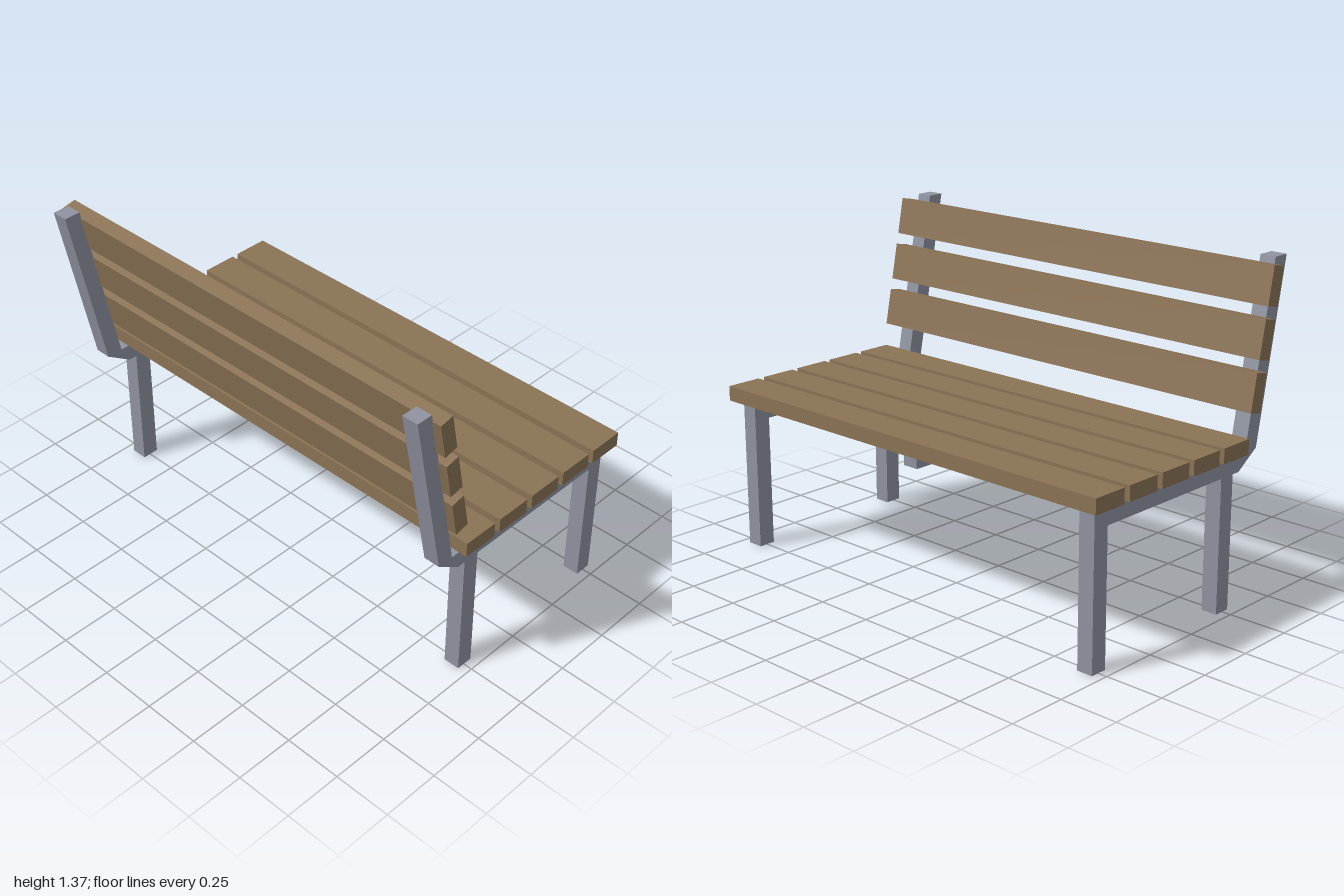
import * as THREE from 'three';

export function createModel() {
  const bench = new THREE.Group();
  bench.name = 'bench';
  const wood = new THREE.MeshStandardMaterial({ color: 0x8b7355 });
  const metal = new THREE.MeshStandardMaterial({ color: 0x8f93a0 });

  const add = (name, geometry, material, x, y, z, tilt = 0) => {
    const mesh = new THREE.Mesh(geometry, material);
    mesh.name = name;
    mesh.position.set(x, y, z);
    mesh.rotation.x = tilt;
    bench.add(mesh);
  };

  // End frame: legs, seat rail and leaning back post in one side profile (z, y)
  const bar = 0.07;
  const profile = [
    [0.577, 1.372], [0.505, 1.372], [0.358, 0.632], [-0.535, 0.632],
    [-0.535, 0], [-0.462, 0], [-0.462, 0.559], [0.21, 0.559],
    [0.21, 0], [0.283, 0], [0.283, 0.559], [0.32, 0.559], [0.43, 0.632],
  ];
  const shape = new THREE.Shape(profile.map(([z, y]) => new THREE.Vector2(-z, y)));
  const frame = new THREE.ExtrudeGeometry(shape, { depth: bar, bevelEnabled: false });
  frame.translate(0, 0, -bar / 2);
  frame.rotateY(Math.PI / 2);
  add('leftFrame', frame, metal, 0.925, 0, 0);
  add('rightFrame', frame, metal, -0.925, 0, 0);

  // Middle rail under the seat
  add('middleRail', new THREE.BoxGeometry(bar, 0.073, 0.745), metal, 0, 0.5955, -0.126);

  // Seat slats
  const seatSlat = new THREE.BoxGeometry(2, 0.063, 0.157);
  for (let i = 0; i < 5; i++) {
    add(`seatSlat${i + 1}`, seatSlat, wood, 0, 0.669, -0.499 + i * 0.1863);
  }

  // Backrest slats, leaning with the posts
  const backSlat = new THREE.BoxGeometry(2, 0.157, 0.063);
  for (let i = 0; i < 3; i++) {
    add(`backSlat${i + 1}`, backSlat, wood, 0, 0.871 + i * 0.201, 0.375 + i * 0.0412, 0.197);
  }

  return bench;
}
